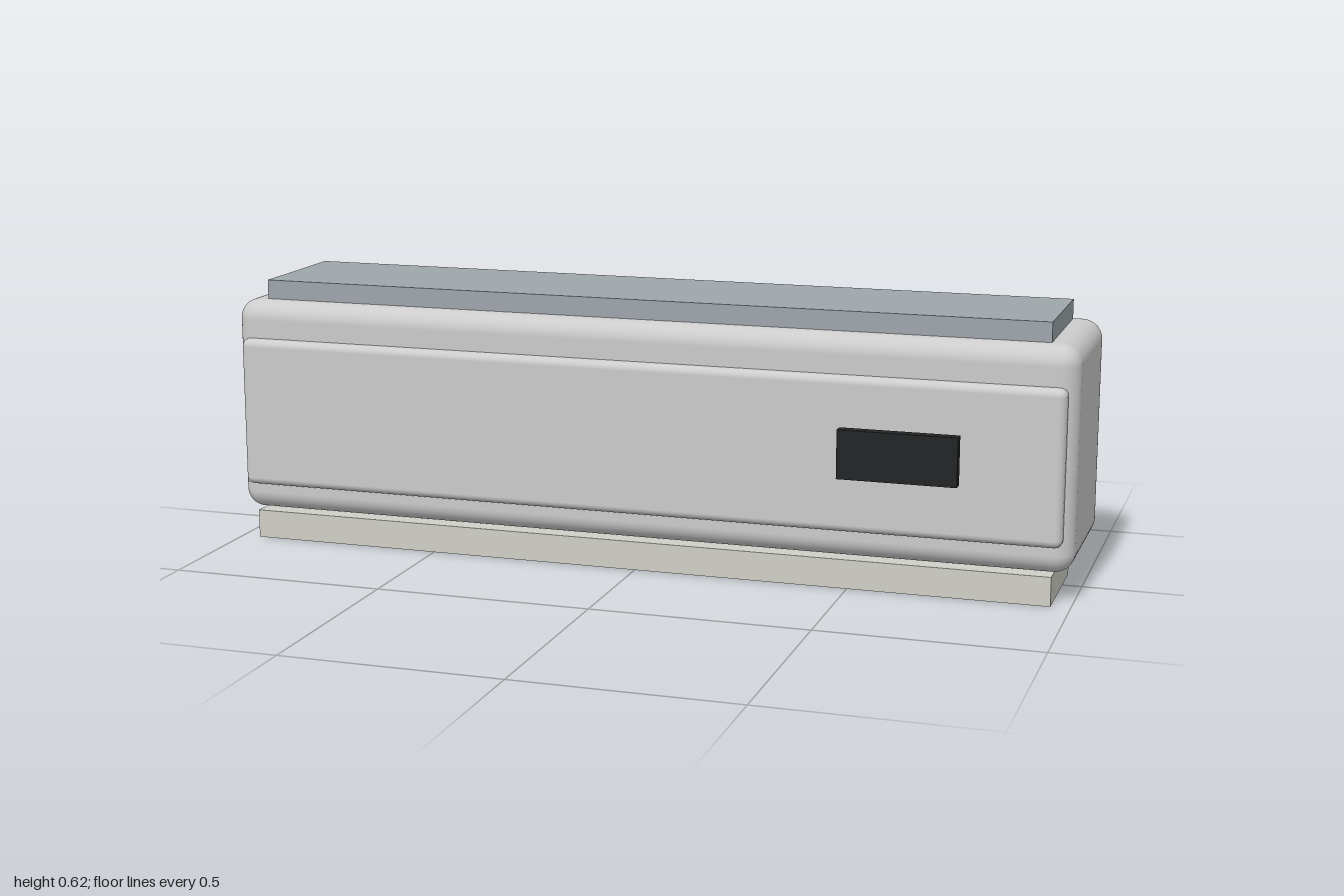
import * as THREE from 'three';
import { RoundedBoxGeometry } from 'three/addons/geometries/RoundedBoxGeometry.js';

// Adds a box given its min/max extents per axis; a radius rounds its edges.
function addBox(group, name, [x0, x1], [y0, y1], [z0, z1], color, radius = 0) {
  const size = [x1 - x0, y1 - y0, z1 - z0];
  const geometry = radius
    ? new RoundedBoxGeometry(...size, 6, radius)
    : new THREE.BoxGeometry(...size);
  const mesh = new THREE.Mesh(geometry, new THREE.MeshStandardMaterial({ color }));
  mesh.name = name;
  mesh.position.set((x0 + x1) / 2, (y0 + y1) / 2, (z0 + z1) / 2);
  group.add(mesh);
}

export function createModel() {
  const group = new THREE.Group();
  group.name = 'wallAirConditioner';

  // Rounded housing and the softly rounded cover on its front
  addBox(group, 'housing', [-1, 1], [0.069, 0.578], [-0.222, 0.178], 0xcccccc, 0.045);
  addBox(group, 'frontCover', [-0.978, 0.978], [0.135, 0.489], [0.156, 0.2], 0xcccccc, 0.018);

  // Air intake on top, outlet underneath
  addBox(group, 'topIntake', [-0.933, 0.933], [0.578, 0.623], [-0.178, 0.134], 0x9ea6ab);
  addBox(group, 'bottomOutlet', [-0.956, 0.956], [0, 0.067], [-0.089, 0.178], 0xd0d0c8);

  // Mounting plate on the back
  addBox(group, 'mountingPlate', [-0.778, 0.778], [0.135, 0.535], [-0.244, -0.222], 0xb8bec0);

  // Dark display standing clear of the front cover
  addBox(group, 'display', [0.487, 0.755], [0.268, 0.379], [0.219, 0.245], 0x222425);

  return group;
}
